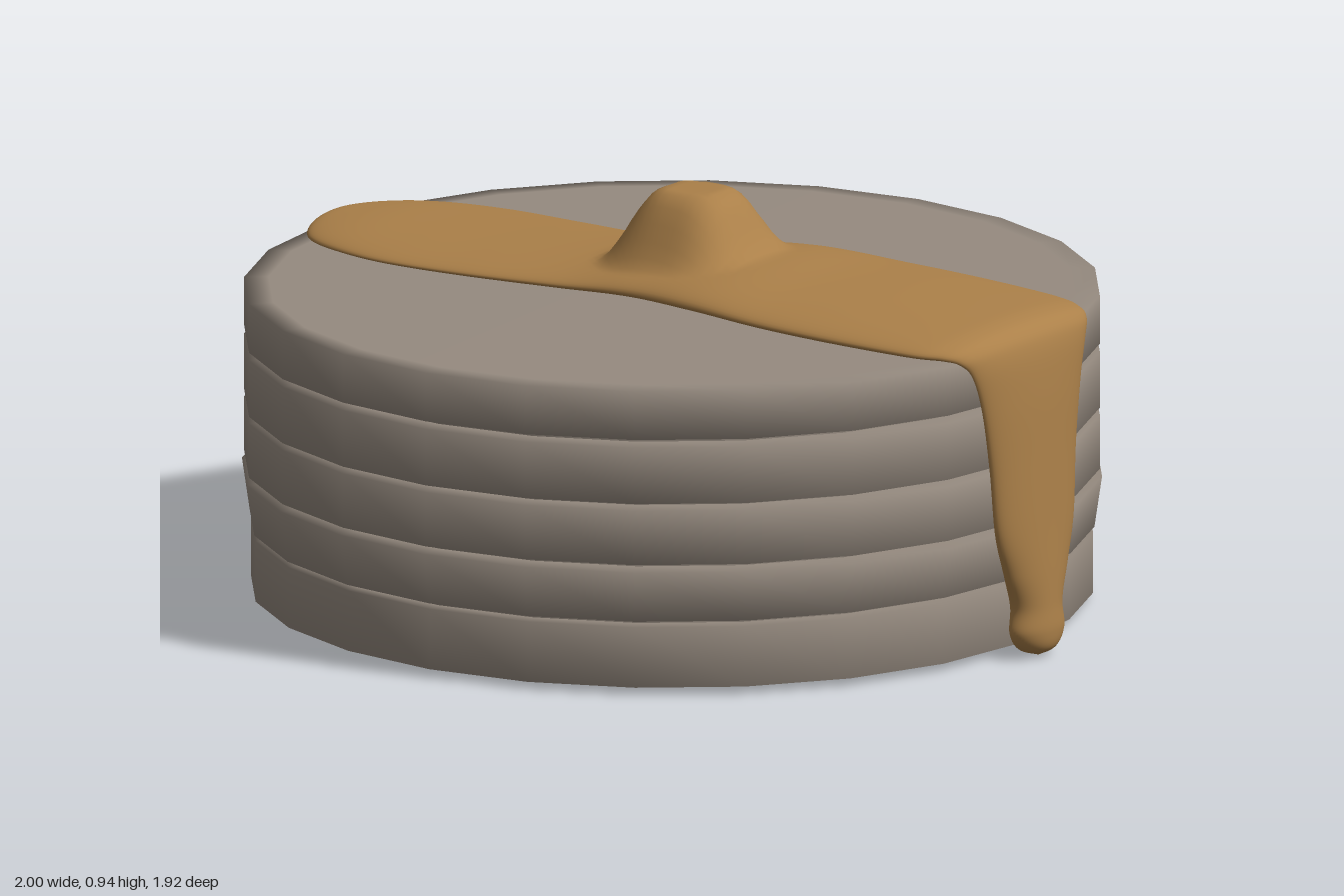
import * as THREE from 'three';

const CENTER_X = -0.045;

// One pancake: shallow disc with softly shaded rims
function pancake(y0, y1, rBottom, rTop, material) {
  const profile = [
    [0, y0], [0.9, y0], [rBottom, y0 + 0.002],
    [rTop, y1 - 0.002], [0.9, y1], [0, y1],
  ].map(([r, y]) => new THREE.Vector2(r, y));
  const mesh = new THREE.Mesh(new THREE.LatheGeometry(profile, 24), material);
  mesh.position.x = CENTER_X;
  return mesh;
}

// Stations along the syrup: outer x, y, inner x, y, half width
const STATIONS = [
  [-0.97, 0.728, -0.97, 0.728, 0],
  [-0.957, 0.745, -0.957, 0.71, 0.1],
  [-0.9, 0.752, -0.9, 0.705, 0.185],
  [-0.8, 0.757, -0.8, 0.703, 0.235],
  [-0.65, 0.757, -0.65, 0.702, 0.264],
  [-0.45, 0.758, -0.45, 0.702, 0.258],
  [-0.2, 0.765, -0.2, 0.705, 0.238],
  [0, 0.79, 0, 0.712, 0.25],
  [0.2, 0.803, 0.2, 0.712, 0.287],
  [0.4, 0.79, 0.4, 0.708, 0.31],
  [0.6, 0.782, 0.6, 0.703, 0.313],
  [0.8, 0.771, 0.8, 0.7, 0.3],
  [0.885, 0.763, 0.87, 0.698, 0.272],
  [0.93, 0.743, 0.895, 0.69, 0.245],
  [0.953, 0.7, 0.905, 0.66, 0.215],
  [0.965, 0.6, 0.907, 0.58, 0.185],
  [0.973, 0.45, 0.907, 0.45, 0.16],
  [0.981, 0.3, 0.908, 0.3, 0.143],
  [0.987, 0.2, 0.908, 0.2, 0.11],
  [0.991, 0.12, 0.905, 0.12, 0.08],
  [0.995, 0.06, 0.905, 0.06, 0.084],
  [0.985, 0.02, 0.915, 0.02, 0.055],
  [0.95, 0, 0.95, 0, 0],
];

// Loft of lens-shaped sections, with a square-ish knob raised on top
function syrupGeometry() {
  const curve = (pick) => new THREE.CatmullRomCurve3(
    STATIONS.map((s) => new THREE.Vector3(...pick(s))), false, 'catmullrom', 0.5);
  const outer = curve((s) => [s[0], s[1], s[4]]);
  const inner = curve((s) => [s[2], s[3], 0]);
  const rows = (STATIONS.length - 1) * 9, ring = 64;
  const positions = [], index = [];
  for (let i = 0; i <= rows; i++) {
    const o = outer.getPoint(i / rows), n = inner.getPoint(i / rows);
    for (let j = 0; j < ring; j++) {
      const a = (j / ring) * Math.PI * 2, s = Math.sin(a);
      const h = 0.38 + (s > 0 ? 0.62 * s : 0.38 * s);
      const x = n.x + (o.x - n.x) * h;
      let y = n.y + (o.y - n.y) * h;
      const z = o.z * Math.cos(a);
      if (s > 0) {
        const dx = x - 0.025;
        const d = Math.cbrt(Math.abs(dx * (dx < 0 ? 0.88 : 1)) ** 3 + Math.abs(z) ** 3);
        y += (0.935 - y) * (1 - THREE.MathUtils.smoothstep(d, 0.06, 0.19));
      }
      positions.push(x, y, z);
      if (i < rows) {
        const p = i * ring + j, q = i * ring + (j + 1) % ring;
        index.push(p, p + ring, q, q, p + ring, q + ring);
      }
    }
  }
  const geometry = new THREE.BufferGeometry();
  geometry.setAttribute('position', new THREE.Float32BufferAttribute(positions, 3));
  geometry.setIndex(index);
  geometry.computeVertexNormals();
  return geometry;
}

export function createModel() {
  const model = new THREE.Group();
  model.name = 'pancakeStack';
  const cake = new THREE.MeshStandardMaterial({ color: 0x968b80 });
  const syrupColor = new THREE.MeshStandardMaterial({ color: 0xab8049 });

  // Five stacked pancakes: bottom y, top y, bottom radius, top radius
  [
    [0.015, 0.157, 0.94, 0.94],
    [0.167, 0.287, 0.943, 0.96],
    [0.3, 0.428, 0.955, 0.955],
    [0.44, 0.573, 0.955, 0.955],
    [0.587, 0.702, 0.955, 0.955],
  ].forEach(([y0, y1, rb, rt], i) => {
    const mesh = pancake(y0, y1, rb, rt, cake);
    mesh.name = `pancake${i + 1}`;
    model.add(mesh);
  });

  // Recessed middle seen in the seams
  const core = new THREE.Mesh(new THREE.CylinderGeometry(0.905, 0.905, 0.6, 24, 1, true), cake);
  core.position.set(CENTER_X, 0.36, 0);
  core.name = 'seams';
  model.add(core);

  // Syrup strip running over the edge
  const syrup = new THREE.Mesh(syrupGeometry(), syrupColor);
  syrup.name = 'syrup';
  model.add(syrup);
  return model;
}
